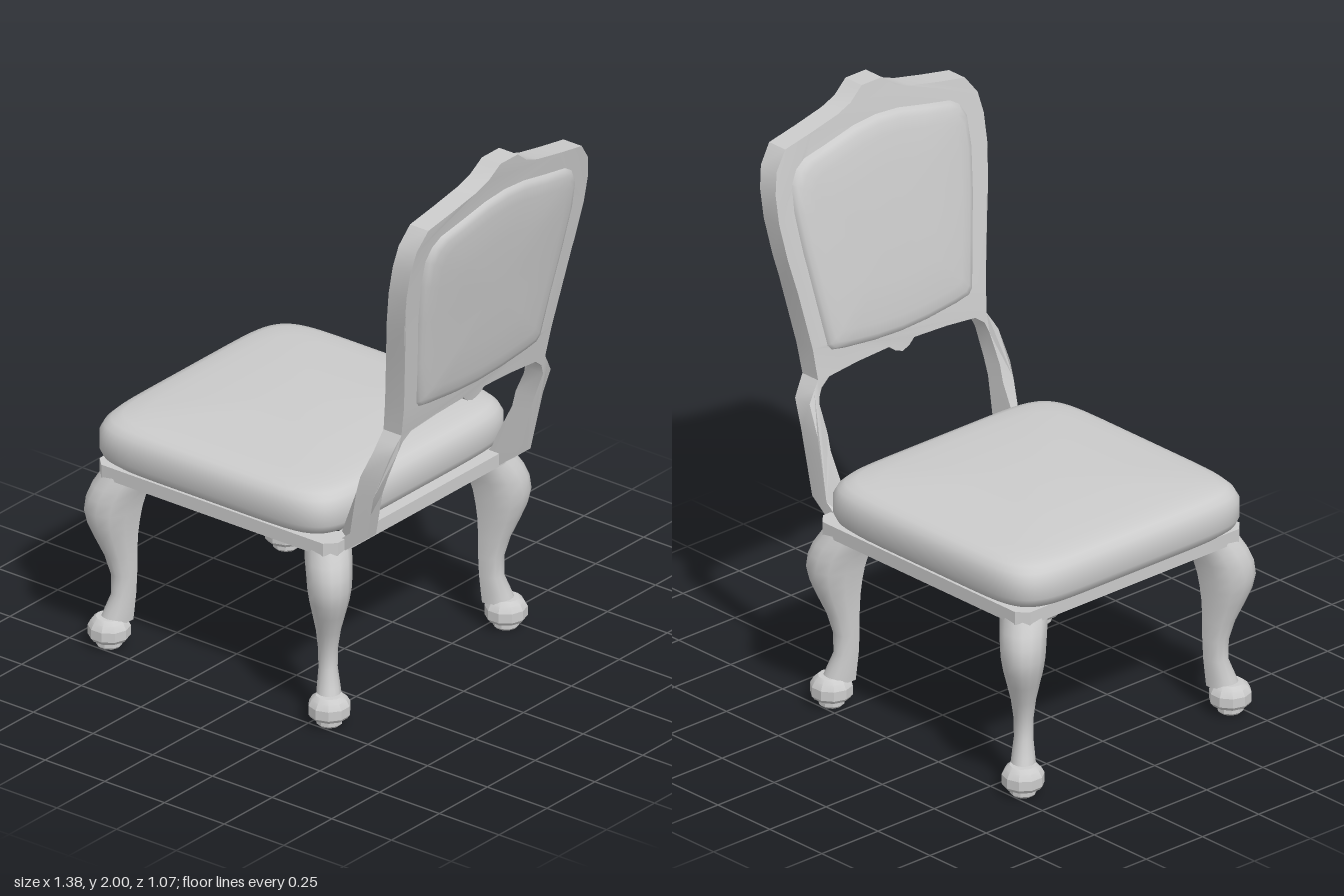
import * as THREE from 'three';
import { toCreasedNormals } from 'three/addons/utils/BufferGeometryUtils.js';

const material = new THREE.MeshStandardMaterial({ color: 0xcccccc });
const CENTRE_X = -0.154; // middle of the seat frame

function addMesh(parent, name, geometry) {
  const mesh = new THREE.Mesh(geometry, material);
  mesh.name = name;
  parent.add(mesh);
  return mesh;
}

// Skin a list of rings (arrays of [x, y, z]) and close both ends with a fan.
function loft(rings, startCentre, endCentre) {
  const n = rings[0].length;
  const points = [...rings.flat(), startCentre, endCentre];
  const start = points.length - 2, end = points.length - 1;
  const index = [];
  const last = (rings.length - 1) * n;
  for (let j = 0; j < n; j++) {
    const k = (j + 1) % n;
    for (let i = 0; i < rings.length - 1; i++) {
      const a = i * n + j, b = i * n + k;
      index.push(a, b, b + n, a, b + n, a + n);
    }
    index.push(start, k, j, end, last + j, last + k);
  }
  const g = new THREE.BufferGeometry();
  g.setAttribute('position', new THREE.Float32BufferAttribute(points.flat(), 3));
  g.setIndex(index);
  g.computeVertexNormals();
  return g;
}

// Piecewise linear lookup in a list of [y, value].
function lookup(table, y) {
  if (y <= table[0][0]) return table[0][1];
  for (let i = 1; i < table.length; i++) {
    const [y0, v0] = table[i - 1], [y1, v1] = table[i];
    if (y <= y1) return v0 + (v1 - v0) * (y - y0) / (y1 - y0);
  }
  return table[table.length - 1][1];
}

// Front and back edges of the backrest seen from the side, as [y, x].
const backFront = [[0.63, 0.28], [0.7, 0.367], [0.86, 0.395], [0.92, 0.41], [1.02, 0.457],
  [1.16, 0.473], [1.4, 0.512], [1.7, 0.566], [1.88, 0.595], [2, 0.612]];
const backRear = [[0.63, 0.345], [0.7, 0.436], [0.86, 0.467], [0.92, 0.488], [1.02, 0.527],
  [1.16, 0.553], [1.4, 0.588], [1.7, 0.64], [1.88, 0.672], [2, 0.69]];

// Half outline of the back cushion as [z, y], top to bottom, then mirrored.
const padHalf = [[0.1, 1.88], [0.22, 1.855], [0.325, 1.835], [0.365, 1.81], [0.39, 1.765], [0.393, 1.67],
  [0.375, 1.52], [0.347, 1.35], [0.322, 1.19], [0.305, 1.172], [0.25, 1.162], [0.12, 1.148]];
const mirror = (half) => half.map(([u, v]) => [-u, v]).reverse();
const padOutline = [[0, 1.888], ...padHalf, [0, 1.143], ...mirror(padHalf)];
const PAD_Y = 1.52;

function seatCushion() {
  // [inset, height] from the underside to the crown
  const profile = [[0.055, 0.668], [0.03, 0.673], [0.01, 0.69], [0, 0.715], [0, 0.775], [0.012, 0.802],
    [0.03, 0.82], [0.06, 0.83], [0.12, 0.836], [0.25, 0.845], [0.38, 0.849]];
  const bend = (v, half) => Math.sign(v) * Math.pow(Math.abs(v), 0.27) * half;
  const rings = profile.map(([inset, y]) => Array.from({ length: 64 }, (_, i) => {
    const a = (i + 0.5) / 64 * Math.PI * 2;
    return [-0.18 + bend(Math.cos(a), 0.512 - inset), y, -bend(Math.sin(a), 0.52 - inset)];
  }));
  return toCreasedNormals(loft(rings, [-0.18, 0.668, 0], [-0.18, 0.85, 0]), 0.9);
}

function seatRail() {
  const square = (path, h, c) => path.setFromPoints([[h, -h + c], [h, h - c], [h - c, h], [-h + c, h],
    [-h, h - c], [-h, -h + c], [-h + c, -h], [h - c, -h]].map(([x, y]) => new THREE.Vector2(x, y)));
  const shape = square(new THREE.Shape(), 0.499, 0.035);
  shape.holes.push(square(new THREE.Path(), 0.445, 0.03));
  return new THREE.ExtrudeGeometry(shape, { depth: 0.047, bevelEnabled: false })
    .rotateX(-Math.PI / 2).translate(CENTRE_X, 0.625, 0);
}

function backFrame() {
  const outer = [[0.045, 2], [0.1, 1.957], [0.16, 1.935], [0.28, 1.91], [0.4, 1.888], [0.447, 1.825],
    [0.463, 1.75], [0.463, 1.65], [0.445, 1.52], [0.42, 1.4], [0.385, 1.2], [0.375, 1.09], [0.395, 1.06],
    [0.42, 1.02], [0.428, 0.92], [0.43, 0.86], [0.428, 0.7], [0.428, 0.63]];
  const inner = [[0.378, 0.63], [0.378, 0.7], [0.383, 0.86], [0.383, 0.92], [0.38, 1.02], [0.362, 1.06],
    [0.325, 1.088], [0.2, 1.1], [0.055, 1.106], [0.03, 1.085]];
  const half = [...outer, ...inner];
  const vectors = (list) => list.map(([u, v]) => new THREE.Vector2(u, v));
  const shape = new THREE.Shape(vectors([...half, [0, 1.075], ...mirror(half)]));
  shape.holes.push(new THREE.Path(vectors(
    padOutline.map(([u, v]) => [u * 0.97, PAD_Y + (v - PAD_Y) * 0.97]))));
  const g = new THREE.ExtrudeGeometry(shape, { depth: 1, bevelEnabled: false });
  // Turn the flat frame to face the seat and rake it along the side profile.
  const p = g.attributes.position;
  for (let i = 0; i < p.count; i++) {
    const y = p.getY(i);
    const x = THREE.MathUtils.lerp(lookup(backFront, y), lookup(backRear, y), p.getZ(i));
    p.setXYZ(i, x, y, -p.getX(i));
  }
  return toCreasedNormals(g, 0.5);
}

function backCushion() {
  const middle = (y) => (lookup(backFront, y) + lookup(backRear, y)) / 2;
  // [outline scale, distance from the middle of the frame], front to rear
  const profile = [[0.5, -0.067], [0.82, -0.064], [0.92, -0.059], [0.97, -0.052], [1, -0.036],
    [1, 0.036], [0.97, 0.05], [0.92, 0.057], [0.82, 0.062], [0.5, 0.067]];
  const rings = profile.map(([s, d]) => padOutline.map(([z, v]) => {
    const y = PAD_Y + (v - PAD_Y) * s;
    return [middle(y) + d, y, z * s];
  }));
  const x = middle(PAD_Y);
  return toCreasedNormals(loft(rings, [x - 0.068, PAD_Y, 0], [x + 0.068, PAD_Y, 0]), 0.8);
}

// Curved leg: square on the inside, rounded towards the outer corner.
function legGeometry() {
  // [height, inner edge, outer edge]
  const levels = [[0.09, 0.405, 0.495], [0.13, 0.402, 0.483], [0.19, 0.398, 0.464], [0.26, 0.396, 0.465],
    [0.33, 0.396, 0.482], [0.4, 0.394, 0.509], [0.45, 0.39, 0.527], [0.5, 0.384, 0.537],
    [0.55, 0.374, 0.533], [0.59, 0.358, 0.521], [0.635, 0.338, 0.499]];
  const rings = levels.map(([y, i, o]) => {
    const s = o - i;
    return [[0, 0], [0, 0.55], [0.2, 0.88], [0.48, 1], [0.72, 0.98], [0.89, 0.89],
      [0.98, 0.72], [1, 0.48], [0.88, 0.2], [0.55, 0]].map(([a, b]) => [i + a * s, y, i + b * s]);
  });
  return toCreasedNormals(loft(rings, [0.45, 0.09, 0.45], [0.42, 0.635, 0.42]), 0.75);
}

function footGeometry() {
  const profile = [[0, 0], [0.036, 0], [0.044, 0.008], [0.044, 0.022], [0.062, 0.03], [0.071, 0.042],
    [0.071, 0.075], [0.06, 0.095], [0.045, 0.108], [0, 0.112]].map(([r, y]) => new THREE.Vector2(r, y));
  return toCreasedNormals(new THREE.LatheGeometry(profile, 10), 0.45);
}

export function createModel() {
  const chair = new THREE.Group();
  chair.name = 'chair';
  addMesh(chair, 'seatCushion', seatCushion());
  addMesh(chair, 'seatRail', seatRail());
  addMesh(chair, 'backFrame', backFrame());
  addMesh(chair, 'backCushion', backCushion());

  // The four legs are quarter turns of one corner leg.
  const leg = legGeometry(), foot = footGeometry();
  ['rearLeftLeg', 'rearRightLeg', 'frontRightLeg', 'frontLeftLeg'].forEach((name, i) => {
    const group = new THREE.Group();
    group.name = name;
    group.position.x = CENTRE_X;
    group.rotation.y = i * Math.PI / 2;
    addMesh(group, 'leg', leg);
    addMesh(group, 'foot', foot).position.set(0.461, 0, 0.461);
    chair.add(group);
  });
  return chair;
}
